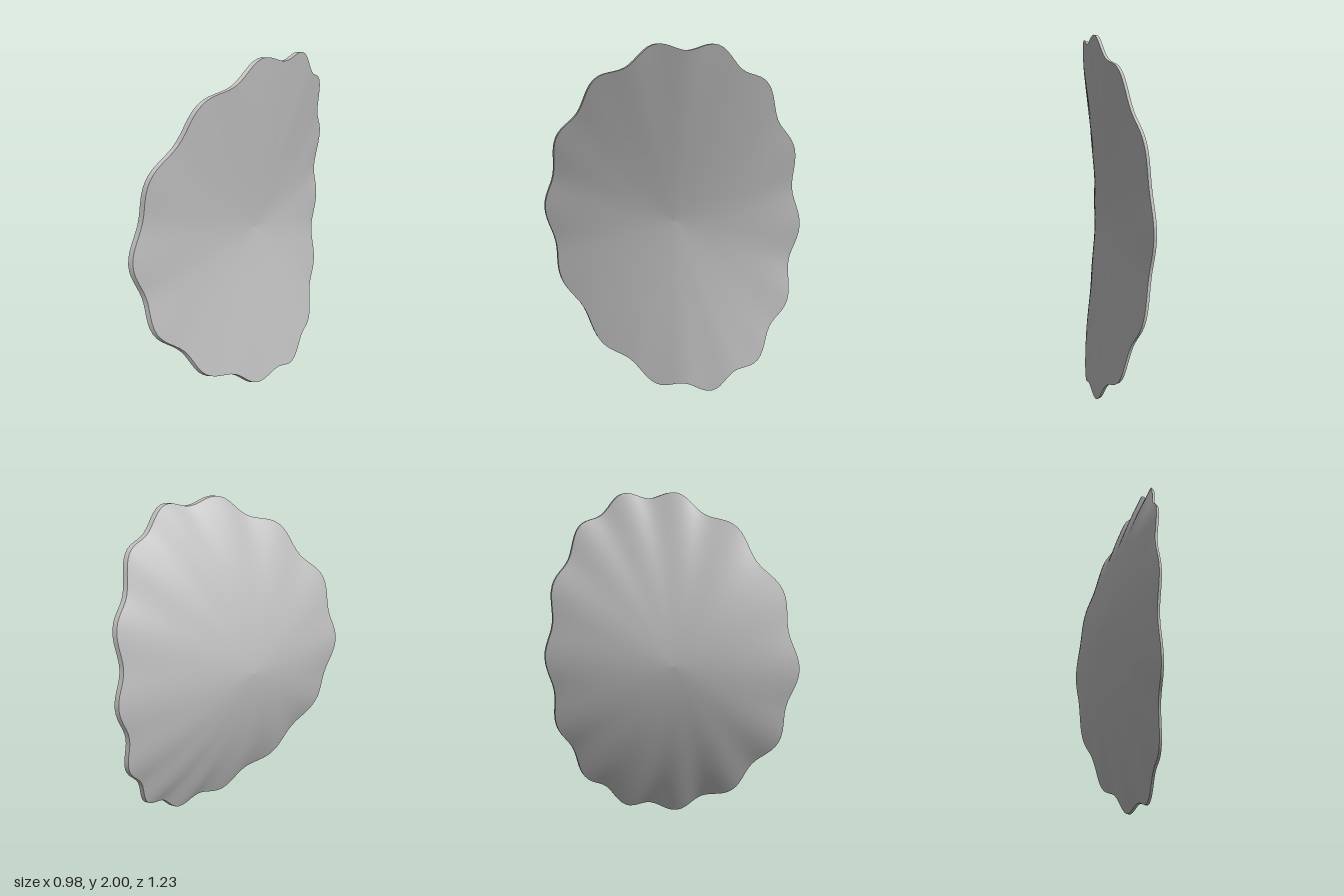
import * as THREE from 'three';

const LOBES = 14, SEGMENTS = 168, RINGS = 20;
const HALF_HEIGHT = 1.022, HALF_DEPTH = 0.615, THICKNESS = 0.025, RIPPLE = 0.0277;

// Point on the shell: r runs from centre to rim, t around it;
// bulge is the swelling at the centre, back the offset behind the front rim
function shellPoint(r, t, bulge, back) {
  const wave = (1 + RIPPLE * Math.cos(LOBES * t)) / (1 + RIPPLE);
  const s = r * (1 + (wave - 1) * r * r); // scallops fade toward the centre
  const z = HALF_DEPTH * s * Math.cos(t);
  const curl = 0.268 * Math.sin(t) ** 2 * r ** 1.4; // top and bottom bend forward
  const x = 0.005 - 0.77 * z + bulge * (1 - r * r) + curl - back;
  return [x, 1 + HALF_HEIGHT * s * Math.sin(t), z];
}

// Closed band of quads between rows of points; flip reverses the facing
function band(rows, point, flip) {
  const positions = [], index = [];
  for (let i = 0; i <= rows; i++) {
    for (let j = 0; j < SEGMENTS; j++) {
      positions.push(...point(i / rows, (j / SEGMENTS) * Math.PI * 2));
      if (i === rows) continue;
      const k = (j + 1) % SEGMENTS;
      const a = i * SEGMENTS + j, b = a + SEGMENTS;
      const d = i * SEGMENTS + k, c = d + SEGMENTS;
      if (flip) index.push(a, c, b, a, d, c);
      else index.push(a, b, c, a, c, d);
    }
  }
  const geometry = new THREE.BufferGeometry();
  geometry.setAttribute('position', new THREE.Float32BufferAttribute(positions, 3));
  geometry.setIndex(index);
  geometry.computeVertexNormals();
  return geometry;
}

export function createModel() {
  const model = new THREE.Group();
  model.name = 'scallopedShell';
  const grey = new THREE.MeshStandardMaterial({ color: 0xc0c0c0 });
  grey.name = 'grey';

  const add = (name, geometry) => {
    const mesh = new THREE.Mesh(geometry, grey);
    mesh.name = name;
    model.add(mesh);
  };

  // Saddle-shaped face, domed back and the thin scalloped edge joining them
  add('saddleFace', band(RINGS, (r, t) => shellPoint(r, t, 0.115, 0), true));
  add('domedBack', band(RINGS, (r, t) => shellPoint(r, t, -0.1, THICKNESS), false));
  add('scallopedEdge', band(1, (f, t) => shellPoint(1, t, 0, f * THICKNESS), true));
  return model;
}
